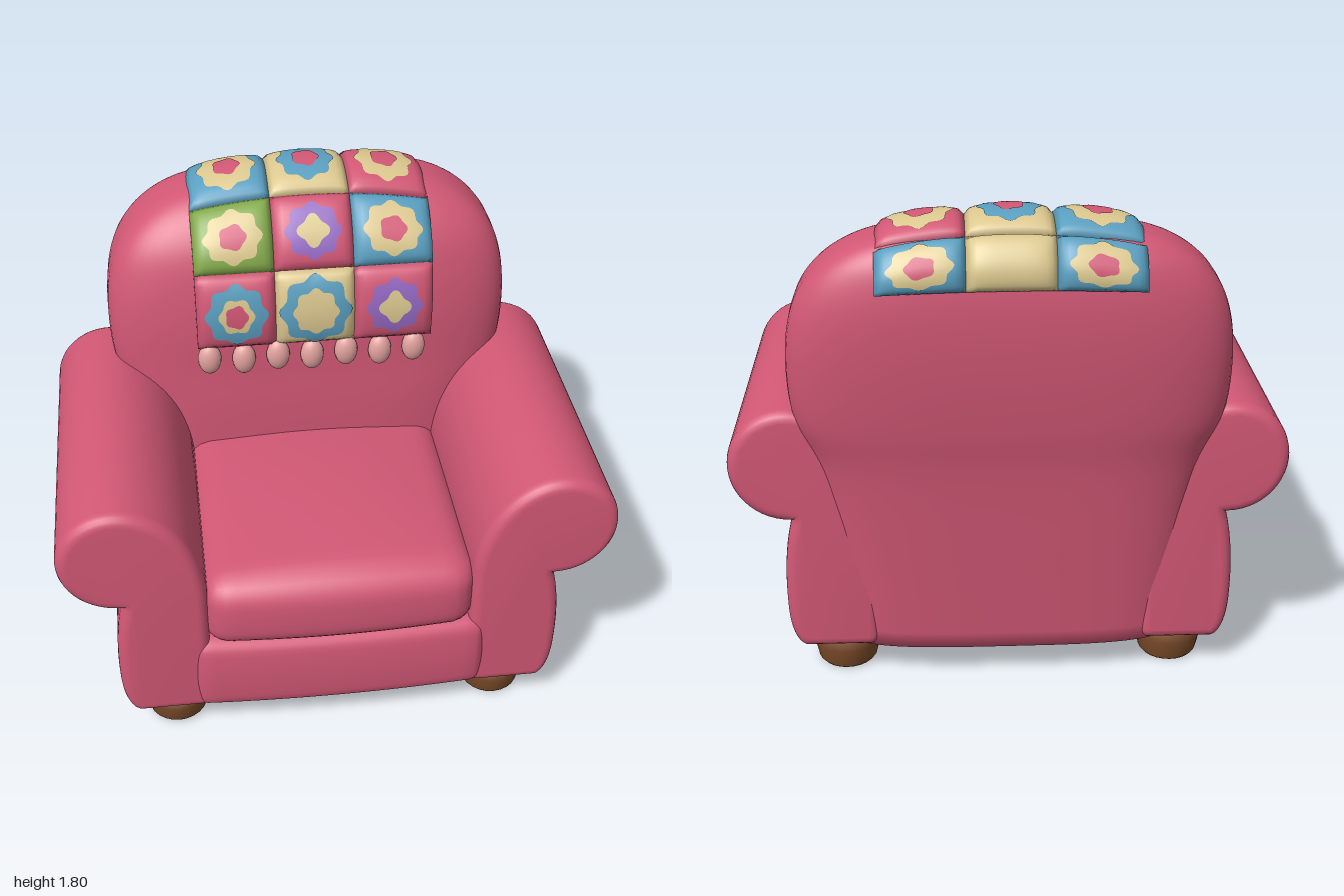
import * as THREE from 'three';
import { mergeVertices, toCreasedNormals } from 'three/addons/utils/BufferGeometryUtils.js';

const makeMaterial = (name, color, side = THREE.FrontSide) => {
  const m = new THREE.MeshStandardMaterial({ color, side });
  m.name = name;
  return m;
};

// Smooth surface from a grid of points, point(i, j) with i across and j along
function gridGeometry(nu, nv, point) {
  const pos = [], idx = [];
  for (let j = 0; j <= nv; j++) for (let i = 0; i <= nu; i++) pos.push(...point(i, j));
  for (let j = 0; j < nv; j++) for (let i = 0; i < nu; i++) {
    const a = j * (nu + 1) + i, b = a + 1, c = a + nu + 1, d = c + 1;
    idx.push(a, b, d, a, d, c);
  }
  const g = new THREE.BufferGeometry();
  g.setAttribute('position', new THREE.Float32BufferAttribute(pos, 3));
  g.setIndex(idx);
  const merged = mergeVertices(g, 1e-5);
  merged.computeVertexNormals();
  return merged;
}

// Rounded, bulging upholstered block
function cushionGeometry(w, h, d, r, bulgeTop, bulgeFront) {
  let g = new THREE.BoxGeometry(w, h, d, 24, 16, 24);
  g.deleteAttribute('uv');
  g.deleteAttribute('normal');
  g = mergeVertices(g);
  const half = new THREE.Vector3(w / 2, h / 2, d / 2);
  const inner = half.clone().subScalar(r), low = inner.clone().negate();
  const p = new THREE.Vector3(), core = new THREE.Vector3();
  const pos = g.attributes.position;
  for (let i = 0; i < pos.count; i++) {
    p.fromBufferAttribute(pos, i);
    core.copy(p).clamp(low, inner);
    p.sub(core).normalize().multiplyScalar(r).add(core);
    const fx = 1 - (p.x / half.x) ** 2, fy = 1 - (p.y / half.y) ** 2, fz = 1 - (p.z / half.z) ** 2;
    if (p.z > 0) p.z += bulgeFront * (0.6 * fx + 0.4 * fy) * (p.z / half.z) ** 4;
    if (p.y > 0) p.y += bulgeTop * fx * (0.4 + 0.6 * fz) * (p.y / half.y);
    pos.setXYZ(i, p.x, p.y, p.z);
  }
  g.computeVertexNormals();
  return g;
}

// Backrest: rounded horizontal sections, each [half width, y, front z, rear z]
function backrestGeometry() {
  const rows = [
    [0.62, 0.13, -0.15, -0.555], [0.64, 0.5, -0.15, -0.595], [0.69, 0.85, -0.15, -0.635],
    [0.76, 1.05, -0.16, -0.67], [0.775, 1.25, -0.165, -0.695], [0.755, 1.42, -0.185, -0.705],
    [0.7, 1.55, -0.22, -0.7], [0.6, 1.65, -0.28, -0.68], [0.46, 1.715, -0.35, -0.635],
    [0.25, 1.748, -0.42, -0.56], [0.01, 1.755, -0.48, -0.5],
  ];
  const spline = (a, b) => new THREE.CatmullRomCurve3(
    rows.map(r => new THREE.Vector3(r[a], r[b], 0)), false, 'catmullrom', 0.5);
  const outline = spline(0, 1), depth = spline(2, 3);
  const nv = 60, nu = 64;
  const pow = (v, e) => Math.sign(v) * Math.abs(v) ** e;
  return gridGeometry(nu, nv + 1, (i, j) => {
    const t = Math.max(0, j - 1) / nv;
    const o = outline.getPoint(t), d = depth.getPoint(t);
    const k = j === 0 ? 0 : 1;
    const ang = -2 * Math.PI * (i % nu) / nu;
    const x = pow(Math.cos(ang), 0.57) * o.x, z = pow(Math.sin(ang), 0.57) * (d.x - d.y) / 2;
    return [x * k, o.y, (d.x + d.y) / 2 + z * k];
  });
}

// Scroll arm: side panel with a rolled top, bevelled at both ends
function armGeometry(side) {
  const s = new THREE.Shape();
  s.moveTo(0.53, 0.13);
  s.lineTo(0.75, 0.13);
  s.quadraticCurveTo(0.805, 0.14, 0.815, 0.28);
  s.quadraticCurveTo(0.825, 0.5, 0.785, 0.65);
  s.absarc(0.785, 0.867, 0.215, -Math.PI / 2, Math.PI * 0.62, false);
  s.bezierCurveTo(0.59, 1.02, 0.5, 0.9, 0.48, 0.7);
  s.lineTo(0.48, 0.18);
  s.quadraticCurveTo(0.48, 0.13, 0.53, 0.13);
  const pts = s.getPoints(14).map(p => new THREE.Vector2(p.x * side, p.y));
  const g = new THREE.ExtrudeGeometry(new THREE.Shape(pts), {
    depth: 1.14, bevelThickness: 0.045, bevelSize: 0.04, bevelOffset: -0.04, bevelSegments: 5,
  });
  g.translate(0, 0, -0.495);
  return toCreasedNormals(g, 0.8);
}

// Blanket path over the backrest as (z, y), two spans for each row of squares
const path = new THREE.CatmullRomCurve3([
  [-0.145, 1.19], [-0.14, 1.34], [-0.175, 1.49], [-0.23, 1.62], [-0.33, 1.72],
  [-0.48, 1.765], [-0.62, 1.735], [-0.69, 1.66], [-0.705, 1.57],
].map(([z, y]) => new THREE.Vector3(0, y, z)), false, 'catmullrom', 0.5);

// Point on a padded square; a and b run from -1 to 1, lift moves it outward
function blanketPoint(col, row, a, b, lift) {
  const x = 0.005 + (col - 1) * 0.298 + a * 0.149;
  const t = (row + (b + 1) / 2) / 4;
  const p = path.getPoint(t), d = path.getTangent(t);
  const h = 0.03 * Math.sqrt(Math.max(0, (1 - a ** 4) * (1 - b ** 4))) + lift;
  const droop = 0.045 * (x / 0.45) ** 2 * THREE.MathUtils.smoothstep(p.y, 1.5, 1.72);
  return [x, p.y - d.z * h - droop, p.z + d.y * h];
}

function squareGeometry(col, row) {
  const n = 16;
  const at = i => THREE.MathUtils.clamp((i - 1) / n * 2 - 1, -1, 1);
  return gridGeometry(n + 2, n + 2, (i, j) => {
    const edge = i === 0 || j === 0 || i === n + 2 || j === n + 2;
    return blanketPoint(col, row, at(i), at(j), edge ? -0.075 : 0);
  });
}

// Flat scalloped patch following a padded square
function patchGeometry(col, row, radius, lobes, lift) {
  const n = 48;
  return gridGeometry(n, 6, (i, j) => {
    const ang = 2 * Math.PI * (i % n) / n;
    const r = radius * (1 - j / 6) * (1 + (lobes === 4 ? 0.16 : 0.08) * Math.cos(lobes * ang));
    return blanketPoint(col, row, r * Math.cos(ang), r * Math.sin(ang), lift);
  });
}

export function createModel() {
  const group = new THREE.Group();
  group.name = 'armchair';
  const rose = makeMaterial('rose fabric', 0xd25875);
  const blue = makeMaterial('blue wool', 0x5a9fc0);
  const cream = makeMaterial('cream wool', 0xdcc88f);
  const green = makeMaterial('green wool', 0x84aa4c);
  const purple = makeMaterial('purple wool', 0x9468c2);
  const pink = makeMaterial('pink tassel', 0xe3a39f);
  const brown = makeMaterial('brown wood', 0x7c4c2a);
  const add = (name, geometry, material, x = 0, y = 0, z = 0, parent = group) => {
    const m = new THREE.Mesh(geometry, material);
    m.name = name;
    m.position.set(x, y, z);
    parent.add(m);
  };

  // Upholstery
  add('backrest', backrestGeometry(), rose);
  add('seatBase', cushionGeometry(1.1, 0.33, 1.2, 0.05, 0, 0.035), rose, 0, 0.295, 0.09);
  add('seatCushion', cushionGeometry(1.0, 0.3, 1.0, 0.09, 0.055, 0.05), rose, 0, 0.575, 0.185);
  add('leftArm', armGeometry(1), rose);
  add('rightArm', armGeometry(-1), rose);

  // Legs
  const leg = new THREE.LatheGeometry([[0, 0], [0.1, 0], [0.11, 0.012], [0.125, 0.08], [0.128, 0.15], [0, 0.15]]
    .map(([r, y]) => new THREE.Vector2(r, y)), 24);
  for (const x of [-0.613, 0.613]) {
    add('frontLeg', leg, brown, x, 0, 0.52);
    add('rearLeg', leg, brown, x, 0, -0.37);
  }

  // Patchwork blanket: ground colour, then [colour, radius, lobes] from outer to inner
  const blanket = new THREE.Group();
  blanket.name = 'blanket';
  group.add(blanket);
  const daisy = [[cream, 0.7, 8], [rose, 0.33, 5]];
  const violet = [[purple, 0.67, 8], [cream, 0.36, 4]];
  const squares = [
    [[rose, [blue, 0.75, 8], [cream, 0.43, 6], [rose, 0.28, 5]], [cream, [blue, 0.86, 8], [cream, 0.55, 8]], [rose, ...violet]],
    [[green, ...daisy], [rose, ...violet], [blue, ...daisy]],
    [[blue, ...daisy], [cream, [blue, 0.68, 8], [rose, 0.33, 5]], [rose, ...daisy]],
    [[blue, ...daisy], [cream], [blue, ...daisy]],
  ];
  squares.forEach((line, row) => line.forEach(([ground, ...patches], col) => {
    add('blanketSquare', squareGeometry(col, row), ground, 0, 0, 0, blanket);
    patches.forEach(([mat, radius, lobes], k) =>
      add('flowerPatch', patchGeometry(col, row, radius, lobes, 0.003 * (k + 1)), mat, 0, 0, 0, blanket));
  }));

  // Tassels along the front hem
  const tassel = new THREE.SphereGeometry(1, 16, 12).scale(0.045, 0.065, 0.035);
  for (let i = 0; i < 7; i++) {
    add('tassel', tassel, pink, -0.4 + i * 0.131, 1.14 - (i % 2) * 0.008, -0.15, blanket);
  }
  return group;
}
